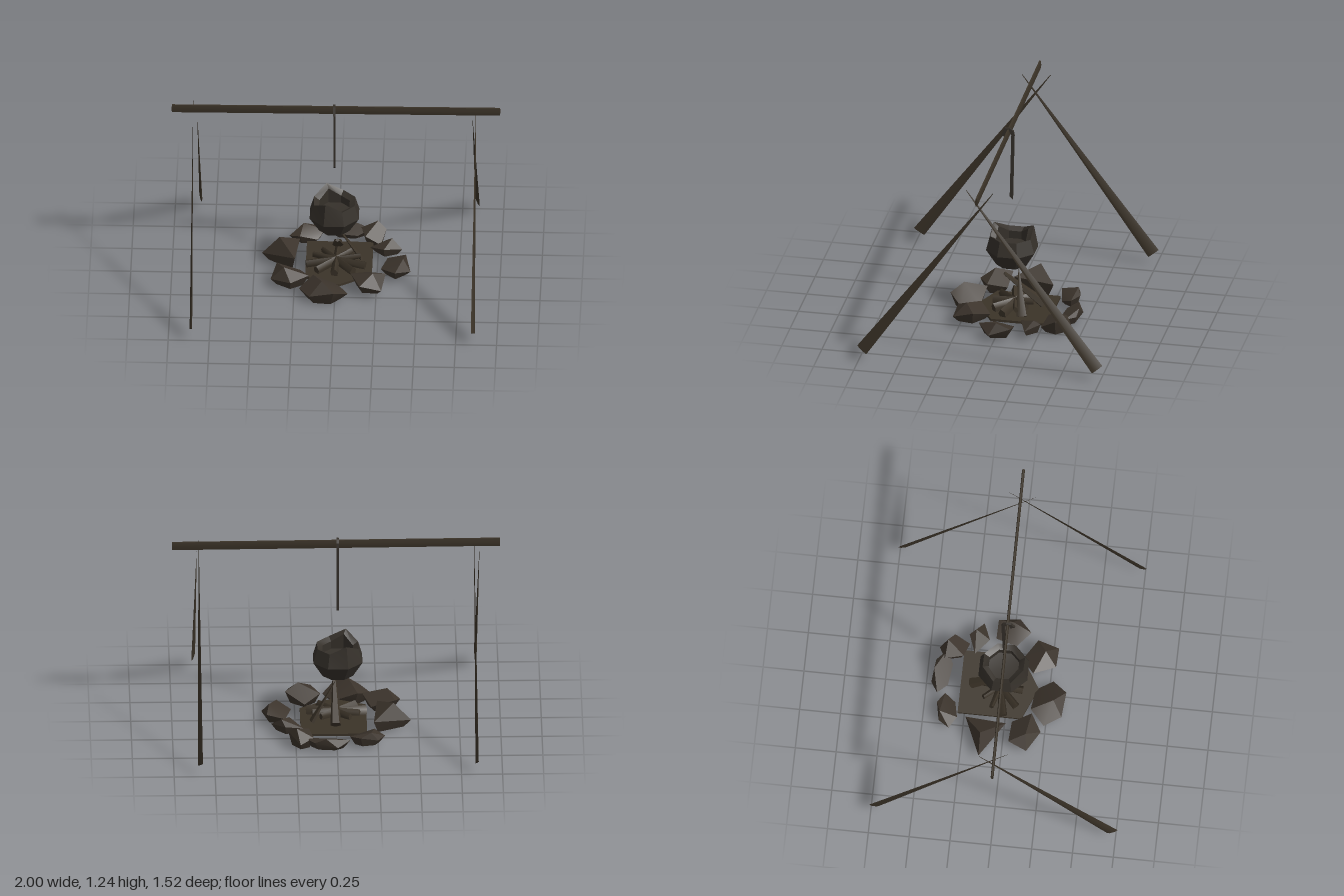
import * as THREE from 'three';
import { toCreasedNormals } from 'three/addons/utils/BufferGeometryUtils.js';
import { ConvexGeometry } from 'three/addons/geometries/ConvexGeometry.js';

const V = (x, y, z) => new THREE.Vector3(x, y, z);

export function createModel() {
  const model = new THREE.Group();
  const wood = new THREE.MeshStandardMaterial({ name: 'charredWood', color: 0x3b3328 });
  const stone = new THREE.MeshStandardMaterial({ name: 'sootyStone', color: 0x3c342c });
  const iron = new THREE.MeshStandardMaterial({ name: 'blackIron', color: 0x35302a });

  const add = (name, geometry, material) => {
    const mesh = new THREE.Mesh(geometry, material);
    mesh.name = name;
    model.add(mesh);
  };

  // Flattened, tapering stick between two points, twisted about its own axis
  const stick = (name, a, b, wide, thick, tip, twist, sides) => {
    const d = b.clone().sub(a);
    const len = d.length();
    d.normalize();
    const side = V(1, 0, 0);
    side.addScaledVector(d, -side.dot(d)).normalize().applyAxisAngle(d, twist);
    const u = side.clone().cross(d);
    const g = new THREE.CylinderGeometry(tip, 1, len, sides);
    g.scale(thick, 1, wide);
    g.applyMatrix4(new THREE.Matrix4().makeBasis(side, d, u).setPosition(a.clone().add(b).multiplyScalar(0.5)));
    add(name, toCreasedNormals(g, 1.1), wood);
  };

  // Crossed support poles: foot x, tip x, front or back, twist
  const poles = [
    ['leftFrontPole', 0.855, 0.85, 1, -0.3],
    ['leftBackPole', 0.84, 0.835, -1, 0.4],
    ['rightFrontPole', -0.862, -0.872, 1, 0.12],
    ['rightBackPole', -0.845, -0.842, -1, 0.2],
  ];
  for (const [name, x0, x1, s, twist] of poles)
    stick(name, V(x0, 0.072, 0.73 * s), V(x1, 1.2, -0.085 * s), 0.039, 0.007, 0.05, twist, 6);

  // Crossbar
  const bar = new THREE.CylinderGeometry(1, 1, 2, 6);
  bar.scale(0.03, 1, 0.009);
  bar.rotateZ(Math.PI / 2);
  bar.rotateY(0.01);
  bar.translate(0, 1.202, -0.002);
  add('crossbar', toCreasedNormals(bar, 1.1), wood);

  // Hanging hook bent over the crossbar, outlined in z and y
  const hookShape = new THREE.Shape([
    [0.044, 1.185], [0.02, 1.235], [-0.012, 1.235], [-0.034, 1.22], [-0.04, 1.19], [-0.03, 0.76],
    [-0.011, 0.78], [-0.021, 1.19], [-0.01, 1.212], [0.008, 1.205], [0.014, 1.175],
  ].map(([z, y]) => new THREE.Vector2(z, y)));
  const hook = new THREE.ExtrudeGeometry(hookShape, { depth: 0.014, bevelEnabled: false });
  hook.rotateY(-Math.PI / 2);
  hook.translate(-0.003, 0, 0);
  add('hook', hook, iron);

  // Dented pot with an uneven rim
  const pot = new THREE.LatheGeometry(
    [[0, 0.33], [0.1, 0.33], [0.162, 0.43], [0.135, 0.545], [0.1, 0.525], [0.1, 0.45], [0, 0.44]]
      .map(([r, y]) => new THREE.Vector2(r, y)), 8, Math.PI / 8);
  const p = pot.attributes.position;
  for (let i = 0; i < p.count; i++) {
    const x = p.getX(i), y = p.getY(i), z = p.getZ(i);
    if (y > 0.5) p.setY(i, y + (x < -0.02 && Math.abs(z) > 0.06 ? 0.025 : -0.025));
  }
  pot.translate(-0.01, 0, -0.025);
  add('pot', toCreasedNormals(pot, 0.6), iron);

  // Ring of stones: centre x, z, half length, half width, turn, base, top, corners
  const stones = [
    [-0.185, -0.355, 0.11, 0.065, -0.2, 0.02, 0.11, 6],
    [0.06, -0.41, 0.14, 0.06, 0.12, 0.02, 0.1, 6],
    [0.22, -0.35, 0.1, 0.075, 1.1, 0.01, 0.14, 5],
    [0.3, -0.205, 0.1, 0.065, 0.2, 0.03, 0.12, 4],
    [0.365, -0.01, 0.115, 0.095, 1.6, 0.02, 0.115, 5],
    [0.205, 0.185, 0.125, 0.105, 0.9, 0.035, 0.15, 5],
    [-0.07, 0.255, 0.15, 0.11, 0.1, 0, 0.14, 6],
    [-0.28, 0.125, 0.125, 0.1, 0.3, 0.02, 0.14, 5],
    [-0.31, -0.12, 0.145, 0.145, -0.95, 0.015, 0.18, 3],
  ];
  for (const [cx, cz, a, b, turn, base, top, corners] of stones) {
    // Off-centre peak leaning away from the fire
    const points = [V(cx * 1.12, top, cz * 1.12)];
    for (let i = 0; i < corners; i++) {
      const t = (i / corners) * Math.PI * 2;
      const dx = a * Math.cos(t) * Math.cos(turn) - b * Math.sin(t) * Math.sin(turn);
      const dz = a * Math.cos(t) * Math.sin(turn) + b * Math.sin(t) * Math.cos(turn);
      const y = base + (top - base) * (0.5 + 0.22 * Math.sin(i * 2.4 + cx * 20));
      points.push(V(cx + dx, y, cz + dz), V(cx + dx * 0.7, base, cz + dz * 0.7));
    }
    add('stone', toCreasedNormals(new ConvexGeometry(points), 0.45), stone);
  }

  // Thin bed of embers inside the ring
  const bed = [];
  for (const [x, z] of [[-0.185, -0.29], [0.22, -0.29], [0.22, 0.06], [0.02, 0.185], [-0.185, 0.1]])
    bed.push(V(x, 0.035, z), V(x, 0.05, z));
  add('fireBed', new ConvexGeometry(bed), wood);

  // Low logs fanned across the bed
  for (let i = 0; i < 5; i++) {
    const t = 0.35 + i * 0.63;
    const x = 0.19 * Math.cos(t), z = 0.14 * Math.sin(t);
    stick('log', V(x, 0.065, z - 0.05), V(-x * 0.8, 0.09, -z * 0.8 - 0.05), 0.035, 0.025, 0.6, 0, 5);
  }

  // Two sticks leaning up from the fire
  stick('leaningLog', V(0.005, 0.08, -0.225), V(0.01, 0.265, 0.02), 0.03, 0.036, 0.35, 0, 5);
  stick('leaningSplinter', V(0.15, 0.05, -0.12), V(0.005, 0.3, -0.07), 0.035, 0.015, 0.08, 0.2, 5);

  return model;
}
